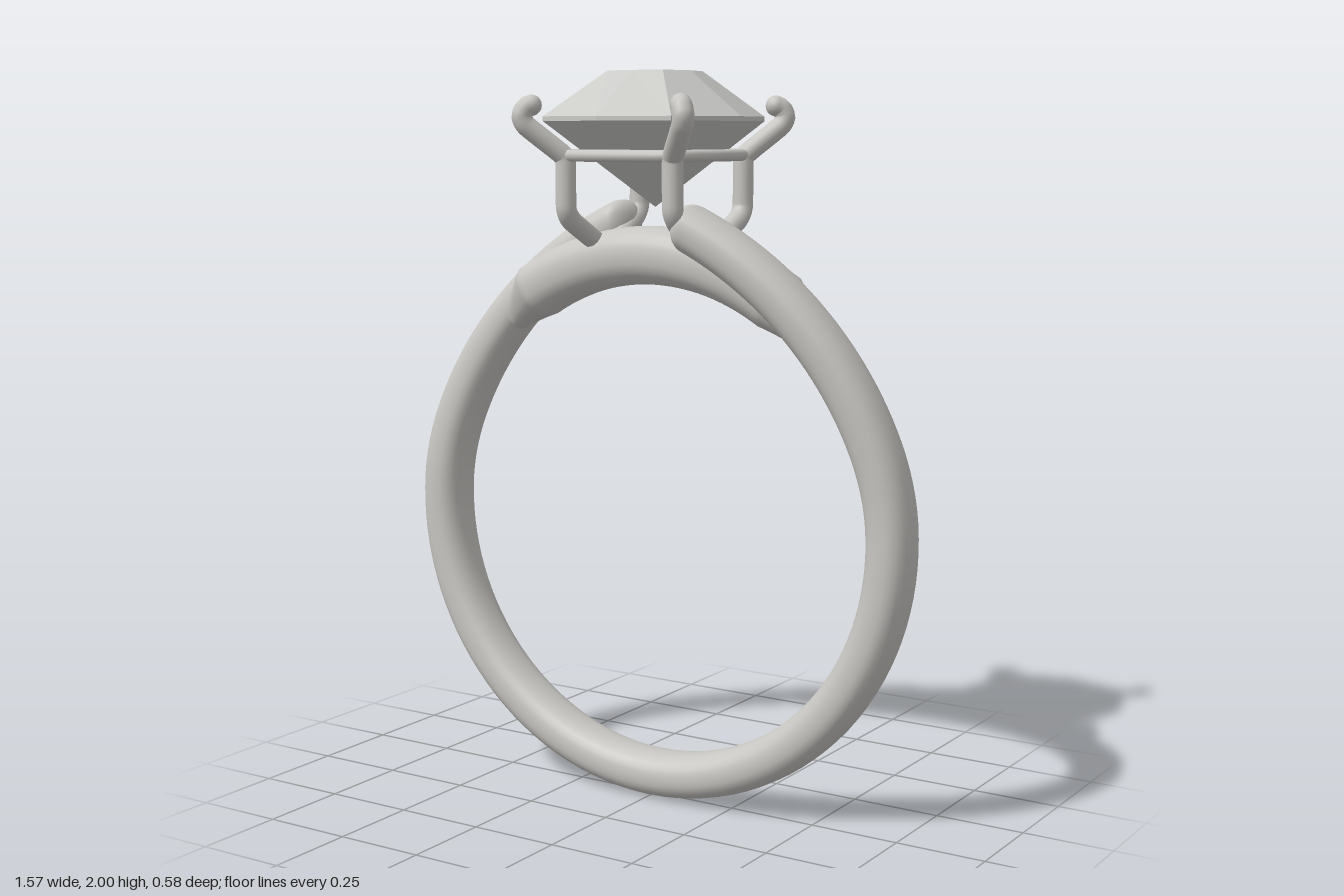
import * as THREE from 'three';

const metal = new THREE.MeshStandardMaterial({ color: 0xc8c6c2 });
metal.name = 'polished metal';
const stone = new THREE.MeshStandardMaterial({ color: 0xcacac7 });
stone.name = 'clear stone';

const CENTRE_Y = 0.785;
const deg = Math.PI / 180;

// Sweeps a soft rectangular section around the finger circle.
// at(angle) gives radius, z, half thickness and half width; angle runs from the top towards +x.
function sweep(from, to, steps, at) {
  const sides = 28, pos = [], index = [];
  const soft = (v) => Math.sign(v) * Math.pow(Math.abs(v), 0.85);
  for (let i = 0; i <= steps; i++) {
    const angle = from + (to - from) * (1 - Math.cos(Math.PI * i / steps)) / 2;
    const s = at(angle);
    for (let j = 0; j < sides; j++) {
      const a = j / sides * Math.PI * 2;
      const r = s.radius + soft(Math.cos(a)) * s.thick;
      pos.push(Math.sin(angle * deg) * r, CENTRE_Y + Math.cos(angle * deg) * r, s.z + soft(Math.sin(a)) * s.wide);
      if (i < steps) {
        const k = (j + 1) % sides, p = i * sides, q = p + sides;
        index.push(p + j, p + k, q + j, p + k, q + k, q + j);
      }
    }
  }
  const g = new THREE.BufferGeometry();
  g.setAttribute('position', new THREE.Float32BufferAttribute(pos, 3));
  g.setIndex(index);
  g.computeVertexNormals();
  return g;
}

// Rounds off the last few degrees of a sweep
const roundEnd = (d, length) => d >= length ? 1 : Math.sqrt(Math.max(0, 1 - (1 - d / length) ** 2));

function add(group, name, geometry, material) {
  const m = new THREE.Mesh(geometry, material);
  m.name = name;
  group.add(m);
}

// Closed faceted stone from octagonal levels
function gemGeometry() {
  const levels = [
    [2.0, 0.11, 0.115, 0.087, 0.1],
    [1.88, 0.265, 0.282, 0.2, 0.238],
    [1.868, 0.265, 0.282, 0.2, 0.238],
  ].map(([y, mx, mz, cx, cz]) => [
    [mx, y, 0], [cx, y, cz], [0, y, mz], [-cx, y, cz],
    [-mx, y, 0], [-cx, y, -cz], [0, y, -mz], [cx, y, -cz],
  ]);
  const top = [0, 2.0, 0], culet = [0, 1.64, 0], pos = [];
  const tri = (...p) => p.forEach((v) => pos.push(...v));
  for (let j = 0; j < 8; j++) {
    const k = (j + 1) % 8;
    tri(top, levels[0][k], levels[0][j]);
    for (let i = 0; i < 2; i++) {
      const a = levels[i], b = levels[i + 1];
      tri(a[j], a[k], b[j]);
      tri(a[k], b[k], b[j]);
    }
    tri(levels[2][j], levels[2][k], culet);
  }
  const g = new THREE.BufferGeometry();
  g.setAttribute('position', new THREE.Float32BufferAttribute(pos, 3));
  g.computeVertexNormals();
  return g;
}

export function createModel() {
  const ring = new THREE.Group();
  ring.name = 'ring';

  // Open band whose two ends rise and part to opposite sides
  const start = 10;
  add(ring, 'band', sweep(start, 360 - start, 160, (angle) => {
    const fromTop = Math.min(angle, 360 - angle);
    const side = angle < 180 ? 1 : -1;
    const lift = Math.max(0, (70 - fromTop) / 57.5) ** 2;
    const drift = Math.max(0, (85 - fromTop) / 72.5) ** 1.5;
    const s = roundEnd(fromTop - start, 3);
    return { radius: 0.722 + 0.105 * lift, z: side * 0.115 * drift, thick: 0.0625 * s, wide: 0.076 * s };
  }), metal);

  // Thick bridge under the stone, tapering into the band
  add(ring, 'bridge', sweep(-43, 43, 90, (angle) => {
    const a = Math.abs(angle);
    const t = Math.max(0, (a - 32) / 11);
    const s = (1 - 0.62 * t) * roundEnd(43 - a, 0.6);
    return { radius: 0.725 - 0.015 * t, z: Math.sign(angle) * 0.02 * t, thick: 0.079 * s, wide: 0.09 * s };
  }), metal);

  // Four legs bending out into claws
  const path = [
    [0.16, 1.545, 0.05], [0.167, 1.605, 0.155], [0.168, 1.64, 0.178], [0.168, 1.765, 0.18],
    [0.178, 1.785, 0.19], [0.242, 1.855, 0.252], [0.251, 1.88, 0.261], [0.243, 1.902, 0.255], [0.232, 1.909, 0.243],
  ];
  const radius = 0.028;
  for (const sx of [1, -1]) for (const sz of [1, -1]) {
    const prong = new THREE.Group();
    prong.name = (sz > 0 ? 'front' : 'back') + (sx > 0 ? 'Left' : 'Right') + 'Prong';
    const points = path.map(([x, y, z]) => new THREE.Vector3(x * sx, y, z * sz));
    const curve = new THREE.CatmullRomCurve3(points, false, 'catmullrom', 0.25);
    add(prong, 'prongWire', new THREE.TubeGeometry(curve, 70, radius, 14), metal);
    for (const p of [points[0], points[points.length - 1]]) {
      add(prong, 'prongTip', new THREE.SphereGeometry(radius, 14, 10).translate(p.x, p.y, p.z), metal);
    }
    ring.add(prong);
  }

  // Thin gallery rail joining the prongs around the stone
  const rail = [];
  for (const [x, z] of [[0.168, 0.18], [0.19, 0], [0.168, -0.18], [0, -0.2], [-0.168, -0.18], [-0.19, 0], [-0.168, 0.18], [0, 0.2]]) {
    rail.push(new THREE.Vector3(x, 1.778, z));
  }
  const railCurve = new THREE.CatmullRomCurve3(rail, true, 'catmullrom', 0.3);
  add(ring, 'galleryRail', new THREE.TubeGeometry(railCurve, 96, 0.016, 10, true), metal);

  // Faceted stone
  add(ring, 'stone', gemGeometry(), stone);
  return ring;
}
